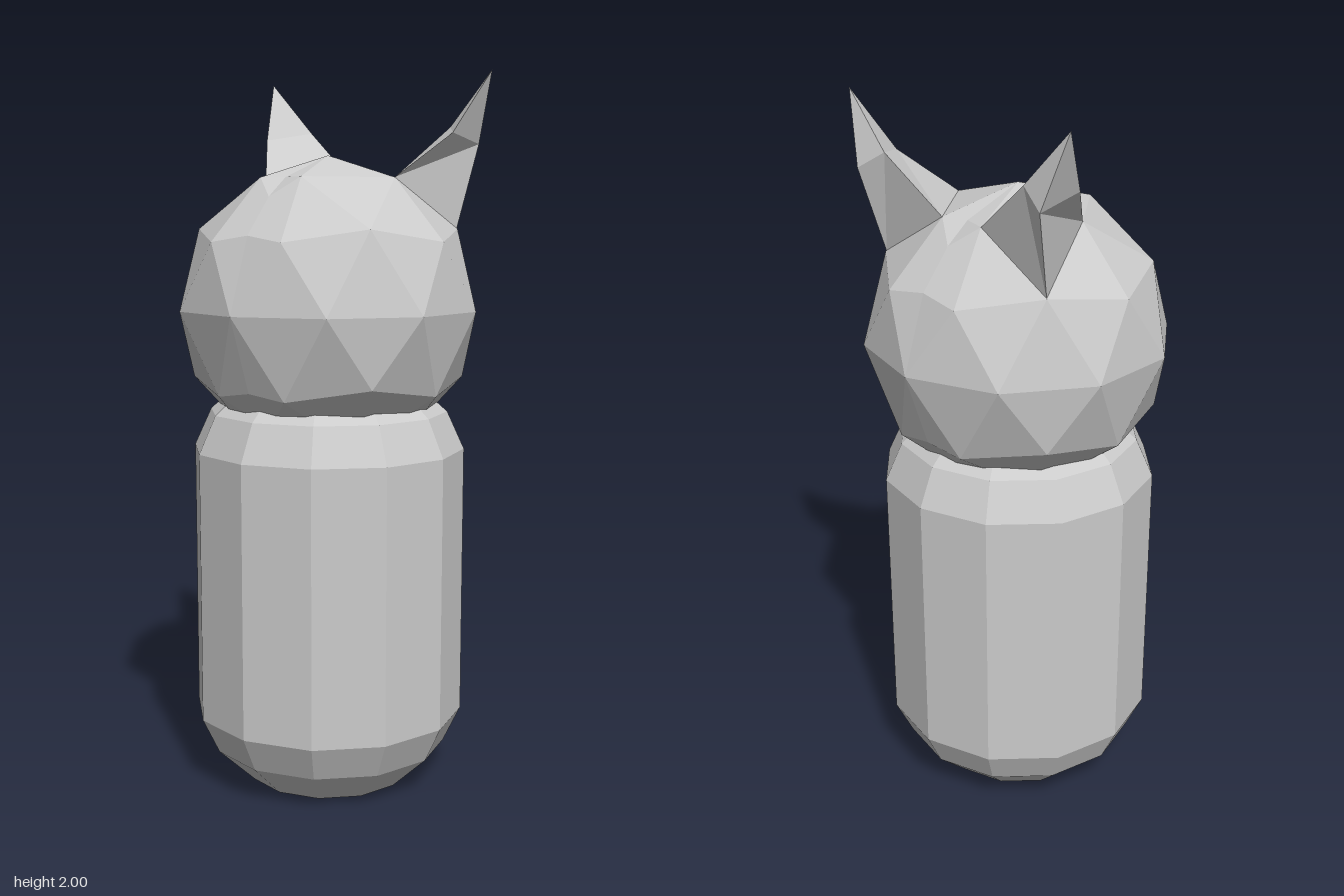
import * as THREE from 'three';

const material = new THREE.MeshStandardMaterial({ color: 0xcccccc, flatShading: true });

function facetedMesh(name, points) {
  const geometry = new THREE.BufferGeometry().setFromPoints(points);
  geometry.computeVertexNormals();
  const mesh = new THREE.Mesh(geometry, material);
  mesh.name = name;
  return mesh;
}

// Mirror triangles across x = 0, reversing them so they still face outward
const mirrored = (points) =>
  points.map((p) => new THREE.Vector3(-p.x, p.y, p.z)).reverse();

// Keep the x >= 0 side of a triangle, returned as a fan of triangles
function clipTriangle(tri) {
  const kept = [];
  tri.forEach((a, i) => {
    const b = tri[(i + 1) % 3];
    if (a.x >= 0) kept.push(a);
    if (a.x * b.x < 0) kept.push(a.clone().lerp(b, a.x / (a.x - b.x)));
  });
  const out = [];
  for (let i = 1; i + 1 < kept.length; i++) out.push(kept[0], kept[i], kept[i + 1]);
  return out;
}

// Head: icosphere standing on a vertex, one half mirrored onto the other
function createHead(radius, y) {
  const ball = new THREE.IcosahedronGeometry(radius, 1);
  ball.rotateX(-Math.atan((1 + Math.sqrt(5)) / 2));
  ball.rotateY(Math.PI / 2);
  ball.translate(0, y, 0);
  const pos = ball.getAttribute('position');
  const half = [];
  for (let i = 0; i < pos.count; i += 3) {
    const tri = [0, 1, 2].map((k) => new THREE.Vector3().fromBufferAttribute(pos, i + k));
    tri.forEach((p) => { if (Math.abs(p.x) < 1e-5) p.x = 0; });
    half.push(...clipTriangle(tri));
  }
  return facetedMesh('head', [...half, ...mirrored(half)]);
}

// Ear: a head facet drawn out through a bent middle ring to a point
function earPoints() {
  const v = (x, y, z) => new THREE.Vector3(x, y, z);
  const base = [v(0.222, 1.71, 0), v(0.289, 1.572, -0.21), v(0.069, 1.71, -0.212)];
  const middle = [v(0.322, 1.83, -0.13), v(0.32, 1.805, -0.272), v(0.243, 1.853, -0.245)];
  const tip = v(0.38, 2, -0.235);
  const out = [];
  for (let i = 0; i < 3; i++) {
    const j = (i + 1) % 3;
    out.push(base[i], base[j], middle[j], base[i], middle[j], middle[i]);
    out.push(middle[i], middle[j], tip);
  }
  return out;
}

export function createModel() {
  const model = new THREE.Group();
  model.name = 'catFigure';

  // Body: twelve-sided drum with two-step bevels at both ends
  const profile = [
    [0, 0], [0.23, 0], [0.337, 0.1], [0.385, 0.2],
    [0.385, 0.96], [0.337, 1.065], [0.23, 1.16], [0, 1.16],
  ].map(([r, y]) => new THREE.Vector2(r, y));
  const body = new THREE.Mesh(new THREE.LatheGeometry(profile, 12), material);
  body.name = 'body';

  const ear = earPoints();
  model.add(
    body,
    createHead(0.423, 1.35),
    facetedMesh('leftEar', ear),
    facetedMesh('rightEar', mirrored(ear)),
  );
  return model;
}
